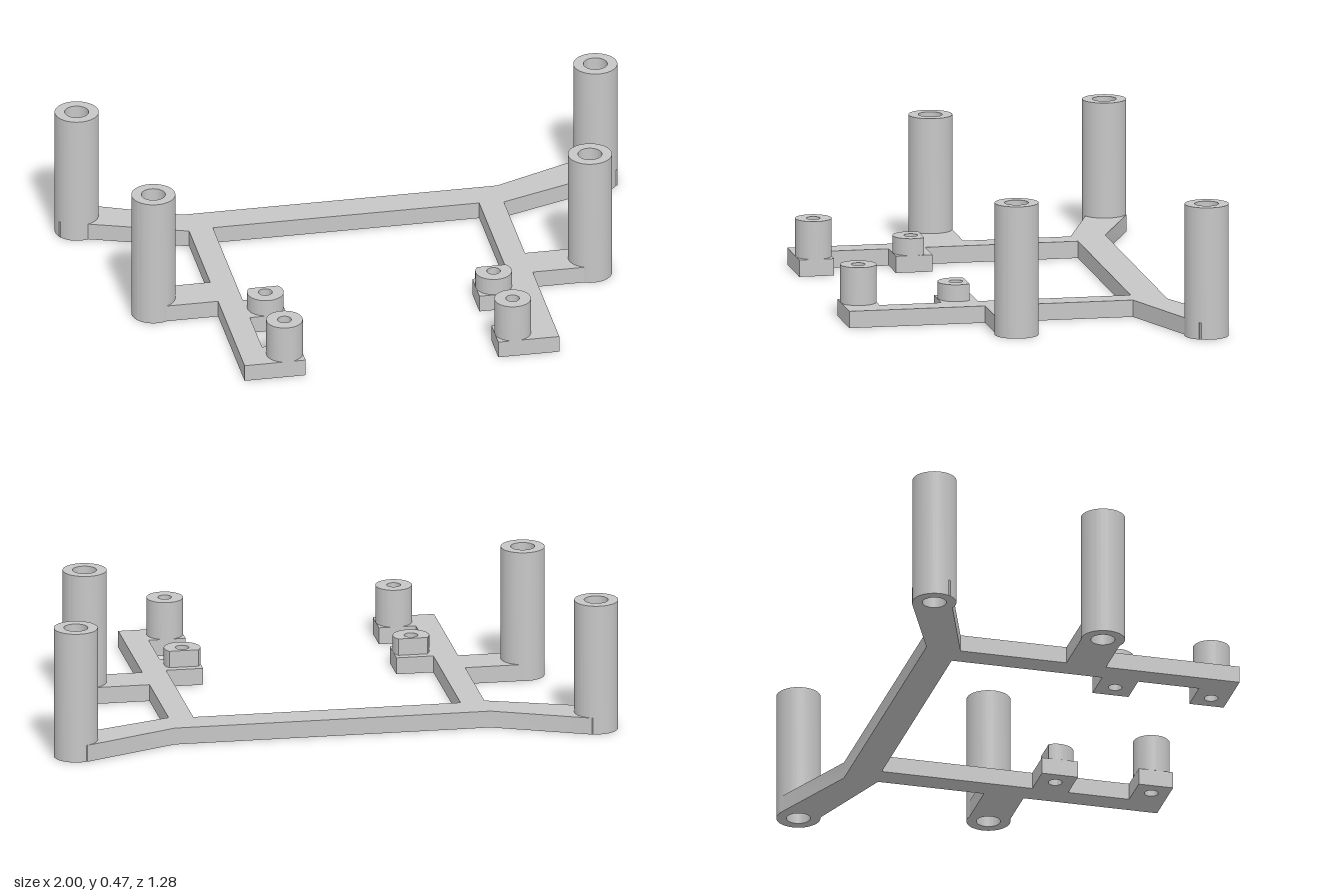
import * as THREE from 'three';
import { toCreasedNormals } from 'three/addons/utils/BufferGeometryUtils.js';

const PLATE = 0.06;       // frame thickness
const POST_R = 0.077, POST_HOLE = 0.042, POST_H = 0.47;
const BOSS_R = 0.064, BOSS_HOLE = 0.024;
const BACK = [0.923, -0.563], MID = [0.777, 0.085];
const REAR_BOSS = [0.406, 0.228], FRONT_BOSS = [0.406, 0.575];

export function createModel() {
  const group = new THREE.Group();
  const grey = new THREE.MeshStandardMaterial({ color: 0xc6c6c6 });
  grey.name = 'light grey';

  // Extrude a plan shape (x, z) upward between two heights
  const addPlan = (name, shape, y0, y1) => {
    let geo = new THREE.ExtrudeGeometry(shape, { depth: y1 - y0, bevelEnabled: false, curveSegments: 40 });
    geo.rotateX(Math.PI / 2).translate(0, y1, 0);
    geo = toCreasedNormals(geo, 0.5);
    const mesh = new THREE.Mesh(geo, grey);
    mesh.name = name;
    group.add(mesh);
  };
  const punch = (shape, x, z, r) => shape.holes.push(new THREE.Path().absarc(x, z, r, 0, Math.PI * 2, true));

  // Hollow post; cut is the angle below the centre line where a flat trims its back
  const addPost = (name, x, z, r, hole, y0, y1, cut) => {
    const shape = new THREE.Shape();
    if (cut === undefined) shape.absarc(x, z, r, 0, Math.PI * 2, false);
    else {
      shape.absarc(x, z, r, -cut, Math.PI + cut, false);
      shape.closePath();
    }
    punch(shape, x, z, hole);
    addPlan(name, shape, y0, y1);
  };

  // Flat frame: crossbar, splayed back arms, side rails, stubs and pads
  const half = [
    [0.56, -0.495], [0.895, -0.637], [0.97, -0.61], [0.994, -0.525], [0.56, -0.372],
    [0.56, 0.011], [0.777, 0.011], [0.728, 0.06], [0.728, 0.11], [0.777, 0.154], [0.56, 0.154],
    [0.56, 0.637], [0.343, 0.637], [0.343, 0.513], [0.474, 0.513],
    [0.474, 0.293], [0.343, 0.293], [0.343, 0.163], [0.474, 0.163], [0.474, -0.381],
  ];
  const mirrored = half.map(([x, z]) => [-x, z]).reverse();
  const frame = new THREE.Shape([...half, ...mirrored].map(([x, z]) => new THREE.Vector2(x, z)));
  for (const s of [1, -1]) {
    punch(frame, s * BACK[0], BACK[1], POST_HOLE);
    punch(frame, s * REAR_BOSS[0], REAR_BOSS[1], BOSS_HOLE);
    punch(frame, s * FRONT_BOSS[0], FRONT_BOSS[1], BOSS_HOLE);
  }
  addPlan('frame', frame, 0, PLATE);

  // Tall posts and small bosses on both sides
  for (const [side, s] of [['left', 1], ['right', -1]]) {
    addPost(side + 'BackPost', s * BACK[0], BACK[1], POST_R, POST_HOLE, 0, POST_H);
    addPost(side + 'MiddlePost', s * MID[0], MID[1], POST_R, POST_HOLE, 0, POST_H);
    addPost(side + 'RearBoss', s * REAR_BOSS[0], REAR_BOSS[1], BOSS_R, BOSS_HOLE, PLATE, 0.12, 0.63);
    addPost(side + 'FrontBoss', s * FRONT_BOSS[0], FRONT_BOSS[1], BOSS_R, BOSS_HOLE, PLATE, 0.195);
  }
  return group;
}
